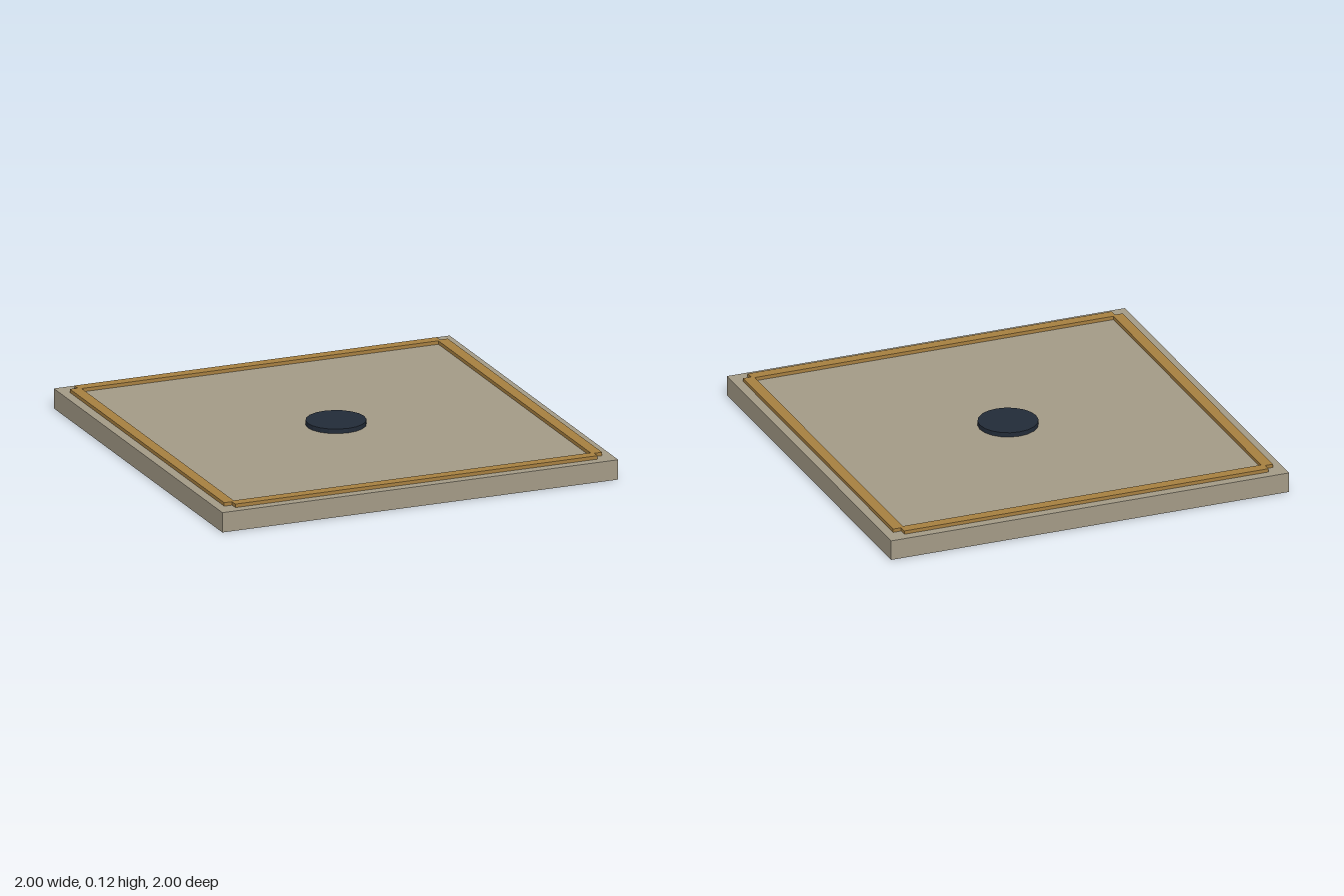
import * as THREE from 'three';

export function createModel() {
  const model = new THREE.Group();
  model.name = 'floorTile';

  const paint = (color) => new THREE.MeshStandardMaterial({ color, flatShading: true });
  const stone = paint(0xa39a86);
  const brass = paint(0xa67f40);
  const dark = paint(0x222b38);

  const add = (name, geometry, material, x, y, z) => {
    const mesh = new THREE.Mesh(geometry, material);
    mesh.name = name;
    mesh.position.set(x, y, z);
    model.add(mesh);
    return mesh;
  };

  // Square stone slab
  const slabTop = 0.097;
  add('slab', new THREE.BoxGeometry(2, slabTop, 2), stone, 0, slabTop / 2, 0);

  // Four raised trim strips, overlapping at notched corners
  const trimTop = 0.114, trimBottom = 0.09;
  const trimHeight = trimTop - trimBottom;
  const trimY = (trimTop + trimBottom) / 2;
  const trimWidth = 0.053, trimLength = 1.83, trimOffset = 0.928;
  for (const [side, label] of [[1, 'front'], [-1, 'back']]) {
    add(`${label}Trim`, new THREE.BoxGeometry(trimLength, trimHeight, trimWidth), brass, 0, trimY, side * trimOffset);
  }
  for (const [side, label] of [[1, 'left'], [-1, 'right']]) {
    add(`${label}Trim`, new THREE.BoxGeometry(trimWidth, trimHeight, trimLength), brass, side * trimOffset, trimY, 0);
  }

  // Low centre disc
  const discTop = 0.119, discHeight = 0.026;
  add('centreDisc', new THREE.CylinderGeometry(0.142, 0.142, discHeight, 20), dark, 0, discTop - discHeight / 2, 0);

  return model;
}
